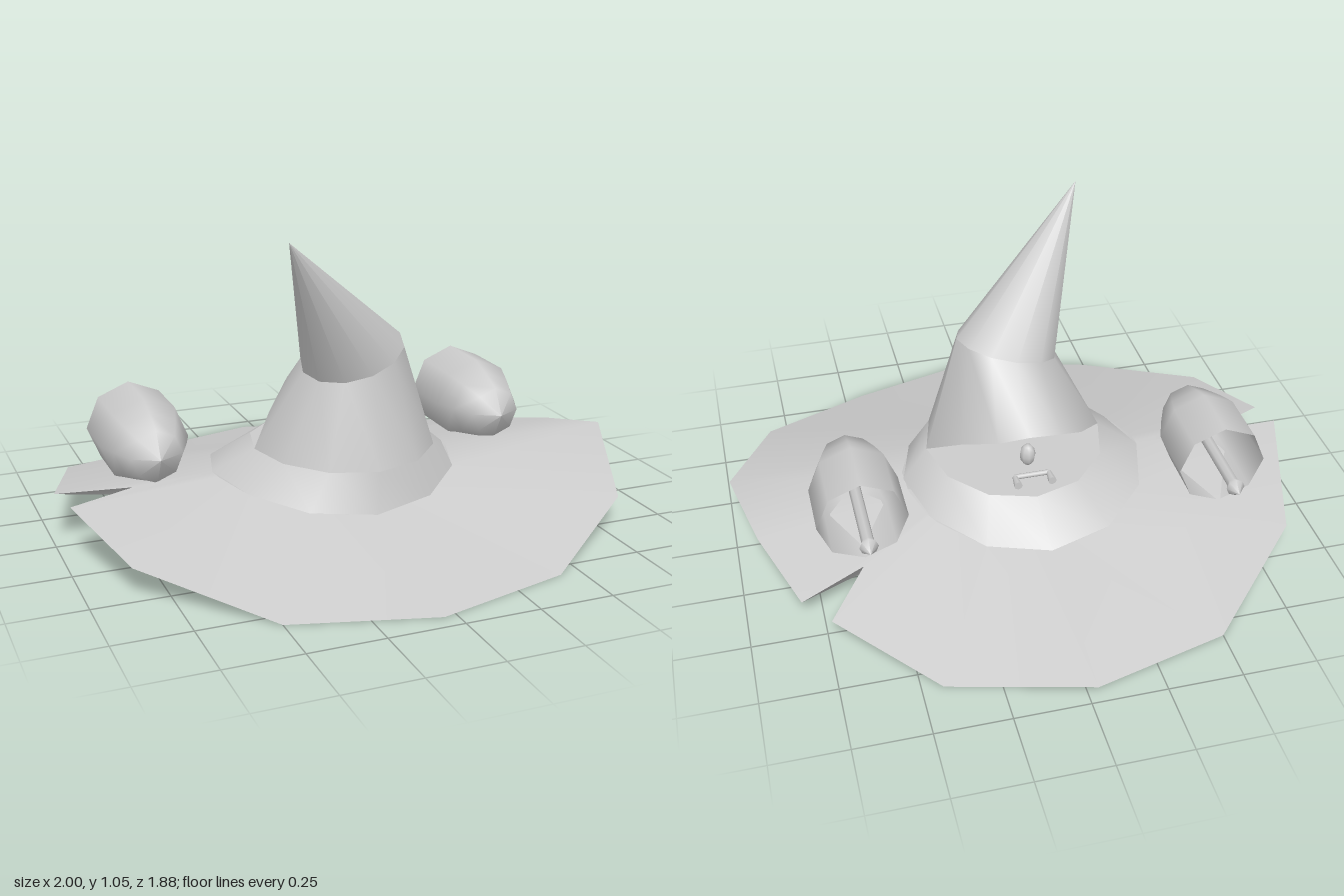
import * as THREE from 'three';

const material = new THREE.MeshStandardMaterial({ color: 0xcccccc, side: THREE.DoubleSide });
const SIDES = 12;

function addMesh(parent, name, geometry) {
  const mesh = new THREE.Mesh(geometry, material);
  mesh.name = name;
  parent.add(mesh);
  return mesh;
}

// Skin a stack of closed rings that all have the same number of points.
function loft(rings) {
  const n = rings[0].length;
  const index = [];
  for (let r = 0; r < rings.length - 1; r++) {
    for (let i = 0; i < n; i++) {
      const j = (i + 1) % n;
      const a = r * n + i, b = r * n + j, c = a + n, d = b + n;
      index.push(a, b, c, b, d, c);
    }
  }
  const geometry = new THREE.BufferGeometry();
  geometry.setAttribute('position', new THREE.Float32BufferAttribute(rings.flat(2), 3));
  geometry.setIndex(index);
  geometry.computeVertexNormals();
  return geometry;
}

// Ring of points running from the front (+z) round through +x.
const ring = (point) => Array.from({ length: SIDES }, (_, i) => {
  const t = (i / SIDES) * Math.PI * 2;
  return point(Math.sin(t), Math.cos(t), i);
});
const repeat = (point, n = SIDES) => Array.from({ length: n }, () => point);

// Where the crown meets the brim: higher at the sides than front and back.
const basePoint = (s, c) => [-0.03 + 0.43 * s, 0.125 + 0.065 * s * s, 0.42 * c];

// Small hanging clapper with a pointed head, along +y.
function clapperGeometry(length, radius, head) {
  const profile = [
    [0, 0], [radius, 0], [radius, length - head * 1.9], [head, length - head * 1.2], [0, length],
  ].map(([x, y]) => new THREE.Vector2(x, y));
  return new THREE.LatheGeometry(profile, 8);
}

export function createModel() {
  const model = new THREE.Group();
  model.name = 'hat';

  // Brim: turned up at the sides, with one torn notch on each side
  const rim = [
    [-0.04, 0, 0.94], [0.43, 0, 0.81], [0.82, 0.1, 0.52], [0.995, 0.215, 0.1],
    [0.93, 0.16, -0.16], [0.82, 0.09, -0.43], [0.6, 0.125, -0.345], [0.735, 0.07, -0.52],
    [0.43, 0, -0.82], [-0.04, 0, -0.94], [-0.5, 0, -0.82], [-0.86, 0.1, -0.465],
    [-1, 0.19, 0.01], [-0.74, 0.18, 0.02], [-0.97, 0.18, 0.12], [-0.86, 0.1, 0.476], [-0.5, 0, 0.81],
  ];
  const inner = rim.map(([x, , z]) => {
    const t = Math.atan2(x + 0.04, z);
    return basePoint(Math.sin(t), Math.cos(t));
  });
  addMesh(model, 'brimTop', loft([rim, inner]));
  addMesh(model, 'brimUnderside', loft([repeat([-0.04, 0.04, 0], rim.length), rim]));

  // Skirt of the crown and the floor inside it
  const base = ring(basePoint);
  const waist = ring((s, c) => [-0.01 + 0.315 * s, 0.27 - 0.01 * c * c, 0.05 + 0.34 * c]);
  addMesh(model, 'crownSkirt', loft([base, waist]));
  addMesh(model, 'crownFloor', loft([waist, repeat([-0.01, 0.26, 0.05])]));

  // Crown: its back edge lifts off the skirt to leave a gap
  const lifted = {
    4: [0.2, 0.35, -0.06], 5: [0.1, 0.43, -0.19], 6: [-0.01, 0.435, -0.19],
    7: [-0.12, 0.43, -0.19], 8: [-0.22, 0.35, -0.09],
  };
  const crownEdge = waist.map((p, i) => lifted[i] || p);
  const bend = ring((s, c) => [-0.008 + 0.175 * s, 0.6 + 0.05 * s - 0.035 * c, 0.145 + 0.175 * c]);
  addMesh(model, 'crown', loft([crownEdge, bend]));
  addMesh(model, 'crownTip', loft([bend, repeat([-0.335, 1.05, 0.44])]));

  // Little ornament in the gap: two pegs, a crossbar and a standing head
  const ornament = new THREE.Group();
  ornament.name = 'gapOrnament';
  model.add(ornament);
  for (const x of [-0.077, 0.043]) {
    const peg = addMesh(ornament, 'peg', new THREE.CylinderGeometry(0.009, 0.015, 0.05, 8));
    peg.rotation.x = Math.PI / 2;
    peg.position.set(x, 0.277, -0.215);
  }
  const bar = addMesh(ornament, 'crossbar', new THREE.CylinderGeometry(0.009, 0.009, 0.12, 8));
  bar.rotation.z = Math.PI / 2;
  bar.position.set(-0.017, 0.277, -0.19);
  const knob = addMesh(ornament, 'knob', new THREE.SphereGeometry(0.028, 8, 6));
  knob.scale.y = 1.5;
  knob.position.set(-0.017, 0.32, -0.13);

  // Hollow bells lying on the brim, open to the back
  const bellProfile = [[0.153, -0.315], [0.153, -0.107], [0.125, -0.03], [0.088, 0.055], [0, 0.105]]
    .map(([x, y]) => new THREE.Vector2(x, y));
  for (const [side, x] of [['left', 0.588], ['right', -0.663]]) {
    const bell = new THREE.Group();
    bell.name = side + 'Bell';
    bell.position.set(x, 0.29, 0);
    const shell = addMesh(bell, 'bellShell', new THREE.LatheGeometry(bellProfile, 8));
    shell.rotation.x = Math.PI / 2;
    const clapper = addMesh(bell, 'clapper', clapperGeometry(0.38, 0.021, 0.032));
    clapper.rotation.x = -Math.PI / 2;
    clapper.position.z = -0.1;
    model.add(bell);
  }
  return model;
}
